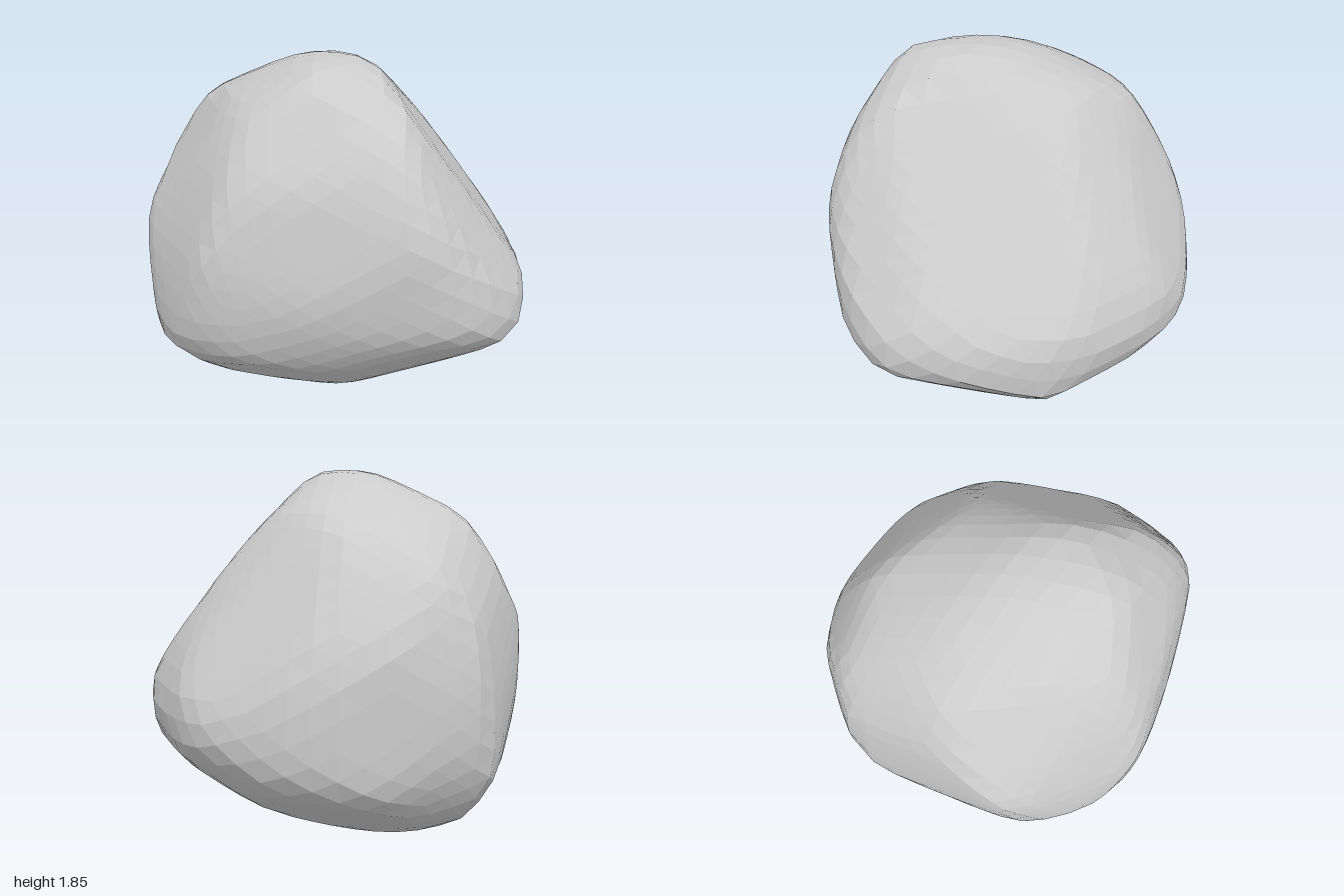
import * as THREE from 'three';
import { mergeVertices } from 'three/addons/utils/BufferGeometryUtils.js';

const V = (x, y, z) => new THREE.Vector3(x, y, z);

// Outlines as (across, up) pairs, measured from the boulder's middle
const frontOutline = [-0.12, 0.925, -0.4, 0.875, -0.55, 0.735, -0.7, 0.515, -0.8, 0.295, -0.9, 0.035, -0.97, -0.325,
  -0.95, -0.425, -0.86, -0.525, -0.65, -0.705, -0.4, -0.845, -0.1, -0.925, 0.3, -0.825, 0.67, -0.625, 0.87, -0.465,
  0.97, -0.225, 0.94, -0.125, 0.81, 0.135, 0.62, 0.425, 0.4, 0.705, 0.22, 0.855, 0.12, 0.895];
const sideOutline = [0.2, 0.925, 0.35, 0.905, 0.5, 0.825, 0.67, 0.675, 0.8, 0.475, 0.9, 0.225, 1, -0.205,
  0.98, -0.305, 0.9, -0.395, 0.6, -0.645, 0.2, -0.865, -0.15, -0.925, -0.4, -0.895, -0.6, -0.825, -0.8, -0.675,
  -0.92, -0.505, -1, -0.225, -0.93, 0.275, -0.85, 0.505, -0.77, 0.625, -0.45, 0.795, -0.07, 0.895];
const planOutline = [-0.2, -1, 0.03, -0.98, 0.4, -0.88, 0.63, -0.76, 0.8, -0.6, 0.9, -0.42, 0.97, 0, 0.94, 0.2,
  0.86, 0.42, 0.6, 0.8, 0.45, 0.94, 0.22, 0.99, 0.05, 0.97, -0.4, 0.78, -0.6, 0.63, -0.8, 0.4, -0.93, 0.2,
  -0.97, 0, -0.9, -0.35, -0.78, -0.53, -0.6, -0.73, -0.3, -0.97];
const diagonalA = [-0.85, 0.06, -0.82, 0.27, -0.73, 0.52, -0.61, 0.7, -0.46, 0.8, -0.24, 0.87, 0.05, 0.89,
  0.32, 0.83, 0.55, 0.72, 0.71, 0.52, 0.9, 0.18, 1, -0.24, 0.98, -0.35, 0.89, -0.46, 0.6, -0.7,
  0.16, -0.88, 0, -0.89, -0.31, -0.76, -0.68, -0.46, -0.82, -0.19];
const diagonalB = [-1, -0.22, -0.94, -0.01, -0.76, 0.24, -0.56, 0.53, -0.28, 0.79, -0.06, 0.88, 0.13, 0.9,
  0.37, 0.86, 0.59, 0.75, 0.68, 0.61, 0.78, 0.25, 0.85, -0.11, 0.83, -0.37, 0.74, -0.56, 0.56, -0.76,
  0.4, -0.87, -0.13, -1, -0.27, -0.99, -0.75, -0.73, -0.93, -0.48];
const diagonalC = [-0.99, -0.29, -0.96, -0.11, -0.85, 0.08, -0.63, 0.37, -0.37, 0.65, -0.12, 0.81, 0.13, 0.84,
  0.5, 0.77, 0.67, 0.65, 0.82, 0.42, 0.9, -0.11, 0.88, -0.39, 0.85, -0.56, 0.78, -0.66, 0.45, -0.8,
  0.02, -0.83, -0.32, -0.79, -0.57, -0.73, -0.85, -0.57, -0.98, -0.42];

// Cutting planes that wrap one outline, swept along its own axis
function outlinePlanes(points, right, up, count = 32) {
  const planes = [];
  for (let i = 0; i < count; i++) {
    const a = (i / count) * Math.PI * 2, c = Math.cos(a), s = Math.sin(a);
    let h = 0;
    for (let k = 0; k < points.length; k += 2) h = Math.max(h, points[k] * c + points[k + 1] * s);
    planes.push({ n: right.clone().multiplyScalar(c).addScaledVector(up, s), h });
  }
  return planes;
}

// Across and up axes of a diagonal direction, tilted up or down
function diagonalAxes(sx, sy, sz, tilt = 0.42) {
  const d = V(sx * Math.SQRT1_2 * Math.cos(tilt), sy * Math.sin(tilt), sz * Math.SQRT1_2 * Math.cos(tilt));
  const right = V(0, 1, 0).cross(d).normalize();
  return [right, d.clone().cross(right)];
}

const facet = (x, y, z, h) => ({ n: V(x, y, z).normalize(), h });

export function createModel() {
  const X = V(1, 0, 0), Y = V(0, 1, 0), Z = V(0, 0, 1);
  const planes = [
    ...outlinePlanes(frontOutline, X, Y),
    ...outlinePlanes(sideOutline, Z, Y),
    ...outlinePlanes(planOutline, X, Z),
    ...outlinePlanes(diagonalA, ...diagonalAxes(1, 1, 1)),
    ...outlinePlanes(diagonalB, ...diagonalAxes(-1, 1, -1)),
    ...outlinePlanes(diagonalC, ...diagonalAxes(1, -1, -1)),
    // long sloping face on the left, with its front ridge and rear shoulder
    facet(0.68, 0.6, 0.43, 0.68),
    facet(0.45, 0.5, 0.74, 0.8),
    facet(0.75, 0.6, -0.15, 0.74),
    facet(0.75, 0.5, -0.43, 0.79),
    // front right faces, lower to upper
    facet(-0.5, -0.12, 0.86, 0.83),
    facet(-0.5, 0.2, 0.84, 0.88),
    facet(-0.6, 0.55, 0.58, 0.87),
    // right and rear right faces
    facet(-0.8, 0.55, -0.2, 0.85),
    facet(-0.61, 0.5, -0.61, 0.92),
    // underside faces
    facet(0.35, -0.85, -0.4, 0.89),
    facet(0.5, -0.68, -0.53, 0.98),
    facet(-0.61, -0.5, -0.61, 1.01),
    facet(0.5, -0.68, 0.53, 0.92),
    facet(-0.45, -0.75, 0.48, 0.8),
  ];

  // Push a ball out to the planes, softening the edges where they meet
  let geo = new THREE.IcosahedronGeometry(1, 9);
  geo.deleteAttribute('uv');
  geo.deleteAttribute('normal');
  geo = mergeVertices(geo, 1e-4);
  const pos = geo.attributes.position, d = V(), power = 70, swell = 1.022;
  for (let i = 0; i < pos.count; i++) {
    d.fromBufferAttribute(pos, i).normalize();
    let sum = 0;
    for (const { n, h } of planes) sum += Math.pow(Math.max(0, n.dot(d) / h), power);
    d.multiplyScalar(swell * Math.pow(sum, -1 / power));
    pos.setXYZ(i, d.x, d.y, d.z);
  }

  // Centre it and stand it on the ground
  geo.center();
  geo.computeBoundingBox();
  geo.translate(0, -geo.boundingBox.min.y, 0);
  geo.computeVertexNormals();

  const boulder = new THREE.Mesh(geo, new THREE.MeshStandardMaterial({ color: 0xcccccc, flatShading: true }));
  boulder.name = 'boulder';
  const group = new THREE.Group();
  group.name = 'rock';
  group.add(boulder);
  return group;
}
